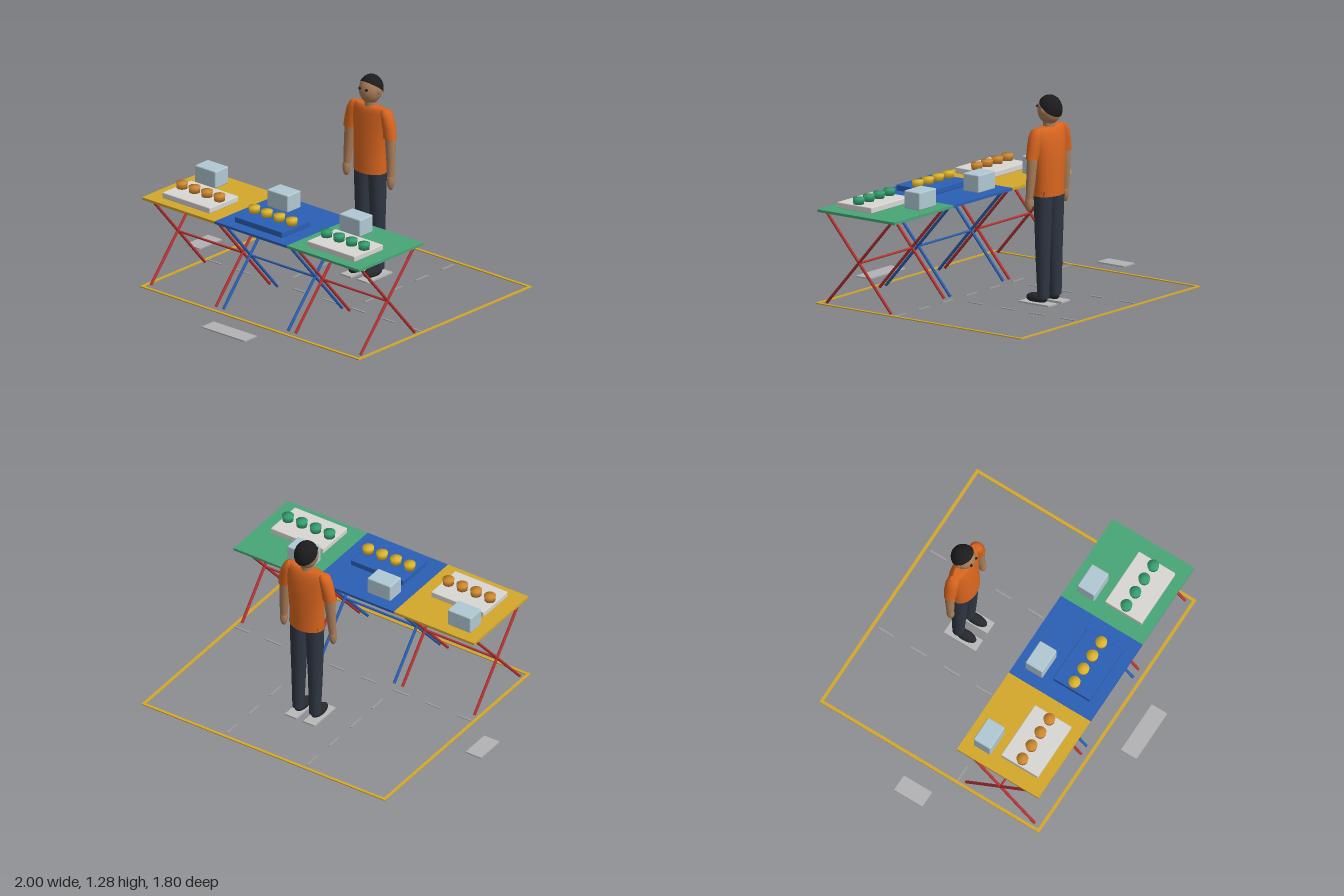
import * as THREE from 'three';
import { RoundedBoxGeometry } from 'three/addons/geometries/RoundedBoxGeometry.js';

const mat = (color) => new THREE.MeshStandardMaterial({ color });
const M = {
  yellow: mat(0xd4a72c), blue: mat(0x2a5fb4), green: mat(0x48a577), red: mat(0xb83232),
  white: mat(0xd8d6d2), ice: mat(0xb0c8d2), amber: mat(0xd08a30), gold: mat(0xe0b62c), jade: mat(0x35a070),
  mark: mat(0x9a9a9a), plate: mat(0xb2b2b4), pad: mat(0xb8b8b8), skin: mat(0xa87c58), shirt: mat(0xd8651f),
  trousers: mat(0x2f3642), shoe: mat(0x26282c), hair: mat(0x1c1c1e),
};

function add(parent, name, geometry, material, x = 0, y = 0, z = 0) {
  const mesh = new THREE.Mesh(geometry, material);
  mesh.name = name;
  mesh.position.set(x, y, z);
  parent.add(mesh);
  return mesh;
}

const box = (w, h, d) => new THREE.BoxGeometry(w, h, d);

// Round bar between two points
function bar(parent, name, a, b, r, material) {
  const p = new THREE.Vector3(...a), q = new THREE.Vector3(...b);
  const dir = q.clone().sub(p);
  const mesh = add(parent, name, new THREE.CylinderGeometry(r, r, dir.length(), 12), material);
  mesh.position.copy(p).add(q).multiplyScalar(0.5);
  mesh.quaternion.setFromUnitVectors(new THREE.Vector3(0, 1, 0), dir.normalize());
}

// Closed smooth body through elliptical sections [y, rx, rz, cx, cz], bottom to top
function loft(sections, n = 28) {
  const pos = [], idx = [];
  for (const [y, rx, rz, cx = 0, cz = 0] of sections) {
    for (let i = 0; i < n; i++) {
      const t = (i / n) * Math.PI * 2;
      pos.push(cx + rx * Math.cos(t), y, cz + rz * Math.sin(t));
    }
  }
  const last = sections.length - 1;
  for (let s = 0; s < last; s++) {
    for (let i = 0; i < n; i++) {
      const j = (i + 1) % n, a = s * n + i, b = s * n + j;
      idx.push(a, a + n, b, b, a + n, b + n);
    }
  }
  // End caps with their own vertices so the rims stay crisp
  for (const [s, up] of [[0, false], [last, true]]) {
    const [y, , , cx = 0, cz = 0] = sections[s];
    const base = pos.length / 3;
    for (let i = 0; i < n; i++) pos.push(...pos.slice((s * n + i) * 3, (s * n + i) * 3 + 3));
    pos.push(cx, y, cz);
    for (let i = 0; i < n; i++) {
      const a = base + i, b = base + ((i + 1) % n);
      idx.push(base + n, up ? b : a, up ? a : b);
    }
  }
  const g = new THREE.BufferGeometry();
  g.setAttribute('position', new THREE.Float32BufferAttribute(pos, 3));
  g.setIndex(idx);
  g.computeVertexNormals();
  return g;
}

// Folding table with tray, cups and cool box
function makeTable(x, top, legs, tray, cup) {
  const table = new THREE.Group();
  table.name = 'foldingTable';
  table.position.set(x, 0, 0.36);
  add(table, 'tableTop', box(0.58, 0.016, 0.58), top, 0, 0.572, 0);
  for (const side of [-1, 1]) {
    const lx = side * 0.26;
    for (const s of [-1, 1]) bar(table, 'crossedLeg', [lx, 0.008, s * 0.243], [lx, 0.564, -s * 0.243], 0.009, legs);
  }
  bar(table, 'crossBar', [-0.26, 0.283, 0], [0.26, 0.283, 0], 0.007, legs);
  add(table, 'tray', new RoundedBoxGeometry(0.38, 0.037, 0.26, 2, 0.005), tray, 0, 0.5985, 0.09);
  const cupProfile = [[0, 0], [0.032, 0], [0.036, 0.038], [0, 0.038]].map(([r, y]) => new THREE.Vector2(r, y));
  for (let i = 0; i < 4; i++) {
    add(table, 'cup', new THREE.LatheGeometry(cupProfile, 24), cup, -0.15 + i * 0.1, 0.617, 0.087);
  }
  add(table, 'coolBox', new RoundedBoxGeometry(0.167, 0.11, 0.12, 2, 0.008), M.ice, -0.133, 0.635, -0.16);
  return table;
}

// Standing vendor, mirrored about its own centre line
function makePerson() {
  const person = new THREE.Group();
  person.name = 'person';
  person.position.set(0.115, 0, -0.43);

  add(person, 'shirt', loft([
    [0.67, 0.114, 0.082, 0, 0.002], [0.78, 0.115, 0.08, 0, 0], [0.9, 0.124, 0.074, 0, -0.005],
    [1.0, 0.134, 0.064, 0, -0.006], [1.055, 0.14, 0.052, 0, -0.003], [1.08, 0.136, 0.042], [1.09, 0.115, 0.03],
  ], 40), M.shirt);
  add(person, 'neck', new THREE.CylinderGeometry(0.034, 0.036, 0.09, 24), M.skin, 0, 1.105, 0);

  for (const s of [-1, 1]) {
    add(person, 'sleeve', loft([
      [0.912, 0.044, 0.036, s * 0.16, 0.003], [0.98, 0.043, 0.04, s * 0.15, 0],
      [1.04, 0.038, 0.042, s * 0.137, 0], [1.075, 0.033, 0.036, s * 0.125, 0], [1.088, 0.018, 0.02, s * 0.118, 0],
    ]), M.shirt);
    add(person, 'arm', loft([
      [0.67, 0.023, 0.022, s * 0.176, 0.013], [0.78, 0.03, 0.027, s * 0.17, 0.006],
      [0.88, 0.034, 0.03, s * 0.163, 0.003], [0.93, 0.034, 0.03, s * 0.16, 0.003],
    ]), M.skin);
    add(person, 'hand', new THREE.SphereGeometry(1, 20, 14), M.skin, s * 0.178, 0.642, 0.016).scale.set(0.023, 0.054, 0.025);
    add(person, 'trouserLeg', loft([
      [0.045, 0.036, 0.036, s * 0.06, -0.004], [0.3, 0.044, 0.045, s * 0.06, 0],
      [0.55, 0.053, 0.054, s * 0.058, 0], [0.7, 0.057, 0.06, s * 0.056, 0],
    ]), M.trousers);
    // Rounded shoe with a flat sole
    const shoe = new THREE.SphereGeometry(1, 24, 16);
    const p = shoe.attributes.position;
    for (let i = 0; i < p.count; i++) p.setY(i, Math.max(p.getY(i), -0.6));
    shoe.computeVertexNormals();
    add(person, 'shoe', shoe, M.shoe, s * 0.06, 0.034, 0.045).scale.set(0.034, 0.034, 0.076);
    add(person, 'footPad', box(0.083, 0.01, 0.225), M.pad, s * 0.066, 0.005, 0.035);
    add(person, 'eye', new THREE.SphereGeometry(0.009, 12, 8), M.hair, s * 0.027, 1.205, 0.066);
    add(person, 'ear', new THREE.SphereGeometry(1, 14, 10), M.skin, s * 0.069, 1.19, 0).scale.set(0.008, 0.02, 0.013);
  }

  // Head with a cap of hair tilted to the back
  add(person, 'head', new THREE.SphereGeometry(1, 32, 24), M.skin, 0, 1.187, -0.003).scale.set(0.07, 0.087, 0.073);
  const hair = new THREE.Group();
  hair.name = 'hair';
  hair.position.set(0, 1.19, -0.006);
  hair.scale.set(0.074, 0.09, 0.078);
  const capMat = M.hair.clone();
  capMat.side = THREE.DoubleSide;
  const cap = add(hair, 'hairCap', new THREE.SphereGeometry(1, 32, 16, 0, Math.PI * 2, 0, 1.42), capMat);
  cap.rotation.x = -0.58;
  person.add(hair);
  return person;
}

export function createModel() {
  const model = new THREE.Group();
  model.name = 'marketStall';

  model.add(makeTable(-0.465, M.yellow, M.red, M.white, M.amber));
  model.add(makeTable(0.115, M.blue, M.blue, M.blue, M.gold));
  model.add(makeTable(0.695, M.green, M.red, M.white, M.jade));
  model.add(makePerson());

  // Yellow border on the floor
  for (const s of [-1, 1]) {
    add(model, 'floorBorder', box(0.02, 0.006, 1.56), M.yellow, 0.115 + s * 0.87, 0.003, -0.12);
    add(model, 'floorBorder', box(1.72, 0.006, 0.02), M.yellow, 0.115, 0.003, -0.12 + s * 0.77);
  }
  // Dashed floor lines
  for (const x of [-0.175, 0.405]) {
    for (let i = 0; i < 4; i++) add(model, 'floorDash', box(0.014, 0.004, 0.112), M.mark, x, 0.002, -0.8 + i * 0.231);
  }
  for (let i = 0; i < 8; i++) {
    add(model, 'floorDash', box(0.113, 0.004, 0.014), M.mark, -0.693 + i * 0.2315, 0.002, 0.07);
  }
  // Blank size plates
  add(model, 'sizePlate', box(0.11, 0.008, 0.2), M.plate, -0.945, 0.004, -0.12);
  add(model, 'sizePlate', box(0.345, 0.008, 0.11), M.plate, 0.117, 0.004, 0.845);
  return model;
}
